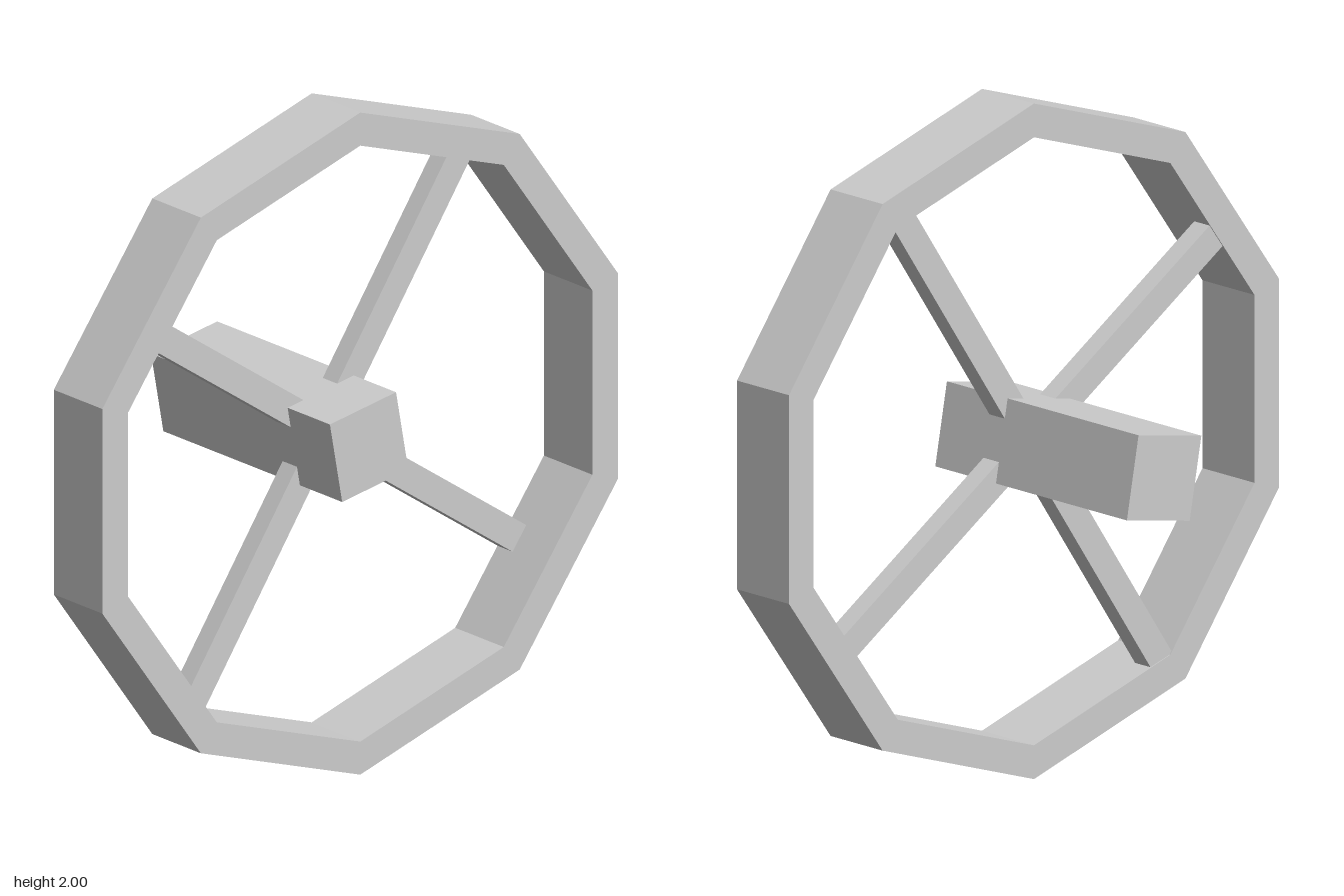
import * as THREE from 'three';

const material = new THREE.MeshStandardMaterial({ color: 0xcccccc, flatShading: true });

// Regular polygon with a vertex at the top
function polygon(PathType, radius, sides) {
  const points = [];
  for (let i = 0; i < sides; i++) {
    const a = Math.PI / 2 + (i / sides) * Math.PI * 2;
    points.push(new THREE.Vector2(Math.cos(a) * radius, Math.sin(a) * radius));
  }
  return new PathType(points);
}

export function createModel() {
  const model = new THREE.Group();
  const wheel = new THREE.Group();
  wheel.name = 'wheel';
  wheel.position.y = 1;
  model.add(wheel);

  // Ten-sided rim
  const rimShape = polygon(THREE.Shape, 1, 10);
  rimShape.holes.push(polygon(THREE.Path, 0.9, 10));
  const rim = new THREE.Mesh(
    new THREE.ExtrudeGeometry(rimShape, { depth: 0.22, bevelEnabled: false }), material);
  rim.name = 'rim';
  rim.position.z = 0.145;
  wheel.add(rim);

  // Square axle through the centre, slightly turned
  const axle = new THREE.Mesh(new THREE.BoxGeometry(0.248, 0.248, 0.81), material);
  axle.name = 'axle';
  axle.rotation.z = THREE.MathUtils.degToRad(10.5);
  wheel.add(axle);

  // Four thin spokes near the back of the rim
  const spokeGeometry = new THREE.BoxGeometry(0.91, 0.086, 0.065);
  spokeGeometry.translate(0.455, 0, 0.181);
  for (let i = 0; i < 4; i++) {
    const spoke = new THREE.Mesh(spokeGeometry, material);
    spoke.name = 'spoke';
    spoke.rotation.z = THREE.MathUtils.degToRad(56 + i * 90);
    wheel.add(spoke);
  }

  return model;
}
